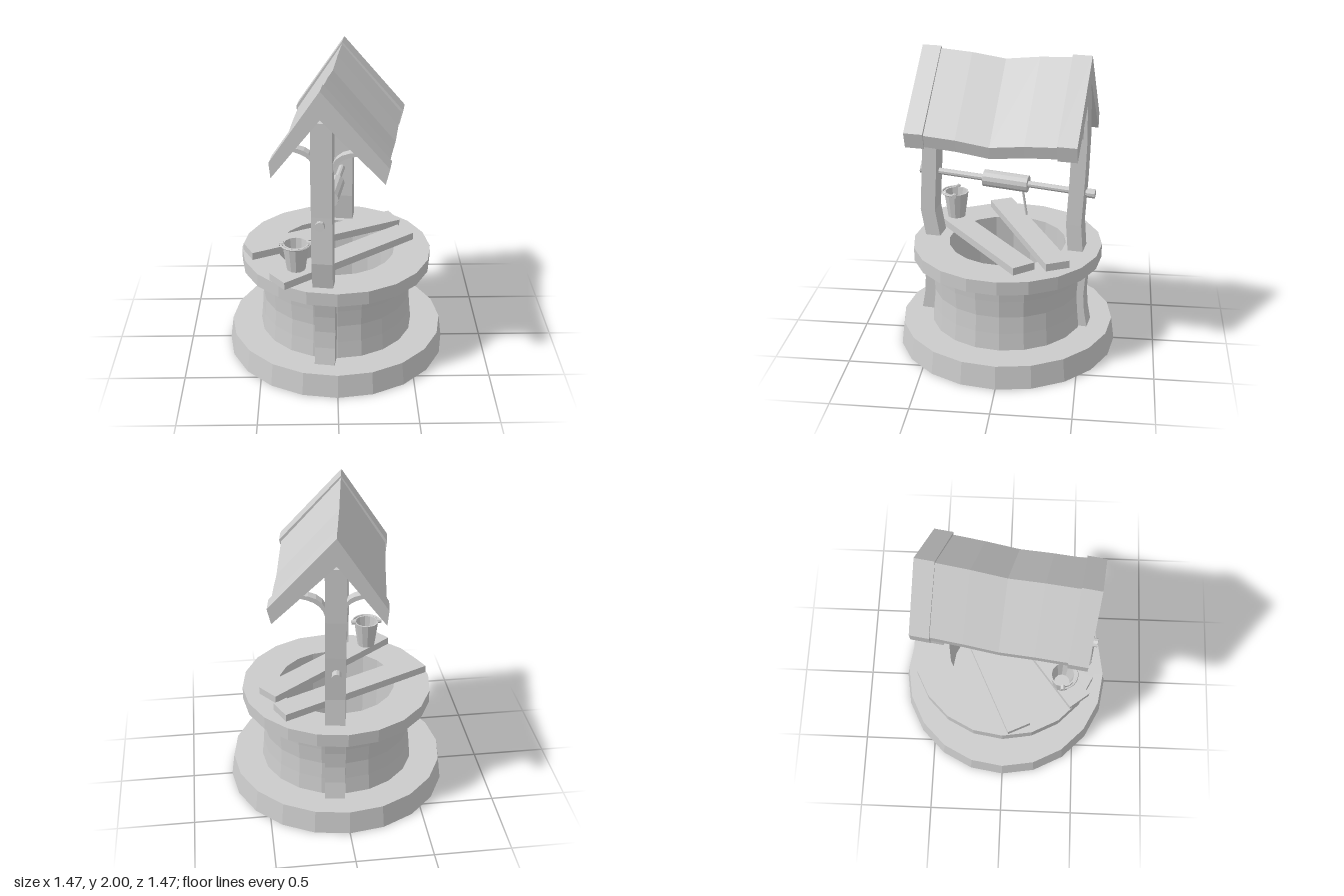
import * as THREE from 'three';

const material = new THREE.MeshStandardMaterial({ color: 0xcccccc, flatShading: true });
const openMaterial = new THREE.MeshStandardMaterial({ color: 0xcccccc, flatShading: true, side: THREE.DoubleSide });

function add(parent, name, geometry, x = 0, y = 0, z = 0, mat = material) {
  const mesh = new THREE.Mesh(geometry, mat);
  mesh.name = name;
  mesh.position.set(x, y, z);
  parent.add(mesh);
  return mesh;
}

const lathe = (points, sides) =>
  new THREE.LatheGeometry(points.map(([r, y]) => new THREE.Vector2(r, y)), sides);

// Square timber passing through the centres [x, y, z]
function bentTimber(levels, width, depth) {
  const n = levels.length - 1;
  const g = new THREE.BoxGeometry(width, n, depth, 1, n, 1);
  const p = g.attributes.position;
  for (let i = 0; i < p.count; i++) {
    const [x, y, z] = levels[Math.round(p.getY(i) + n / 2)];
    p.setXYZ(i, p.getX(i) + x, y, p.getZ(i) + z);
  }
  return g;
}

// Chevron roof section, extruded along z around zero
function chevron(points, length, steps) {
  const shape = new THREE.Shape(points.map(([x, y]) => new THREE.Vector2(x, y)));
  return new THREE.ExtrudeGeometry(shape, { depth: length, steps, bevelEnabled: false })
    .translate(0, 0, -length / 2);
}

// Curved flat bar from a post to the roof underside
function brace(x0, y0, x1, y1) {
  const t = 0.02, s = Math.sign(x1 - x0);
  const shape = new THREE.Shape();
  shape.moveTo(x0, y0);
  shape.quadraticCurveTo(x0 + s * 0.02, y1 - 0.02, x1, y1);
  shape.lineTo(x1, y1 + t);
  shape.quadraticCurveTo(x0, y1 + t, x0 - s * t, y0);
  return new THREE.ExtrudeGeometry(shape, { depth: 0.06, bevelEnabled: false, curveSegments: 5 })
    .translate(0, 0, -0.03);
}

export function createModel() {
  const model = new THREE.Group();
  model.name = 'well';

  // Stonework
  add(model, 'base', new THREE.CylinderGeometry(0.712, 0.733, 0.155, 20), 0, 0.0775, 0);
  add(model, 'wall', lathe([[0.515, 0.15], [0.503, 0.27], [0.495, 0.385], [0.503, 0.5], [0.515, 0.62]], 20));
  add(model, 'rim', lathe([[0.39, 0.615], [0.63, 0.615], [0.63, 0.705], [0.39, 0.705]], 20));
  add(model, 'shaft', lathe([[0.39, 0.705], [0.39, 0.16], [0, 0.16]], 20), 0, 0, 0, openMaterial);

  // Loose planks across the opening
  for (const [x, z, length, degrees] of [[-0.087, -0.126, 1.1, 25.4], [0.047, 0.178, 1.08, 37.8]]) {
    add(model, 'plank', new THREE.BoxGeometry(length, 0.05, 0.16), x, 0.73, z)
      .rotation.y = THREE.MathUtils.degToRad(degrees);
  }

  // Timber frame, turned slightly on the stonework
  const frame = new THREE.Group();
  frame.name = 'frame';
  frame.position.set(-0.02, 0, 0.012);
  frame.rotation.y = THREE.MathUtils.degToRad(-8.7);
  model.add(frame);

  const frontPost = [[0.01, 0.7, 0.492], [0.01, 0.89, 0.525], [0.008, 1.2, 0.508], [0.005, 1.45, 0.5], [0.005, 1.8, 0.49]];
  const backPost = [[0.01, 0.7, -0.487], [0.01, 0.89, -0.472], [0.008, 1.2, -0.488], [0.005, 1.45, -0.495], [0.005, 1.8, -0.49]];
  add(frame, 'frontPost', bentTimber(frontPost, 0.13, 0.1));
  add(frame, 'backPost', bentTimber(backPost, 0.13, 0.1));
  for (const s of [1, -1]) {
    const foot = [[0.53, 0.15], [0.508, 0.27], [0.5, 0.385], [0.508, 0.5], [0.528, 0.62]];
    add(frame, 'postFoot', bentTimber(foot.map(([z, y]) => [s > 0 ? 0.025 : 0.01, y, s * z]), 0.13, 0.1));
    add(frame, 'rightBrace', brace(-0.06, 1.54, -0.19, 1.61), 0, 0, s * 0.49);
    add(frame, 'leftBrace', brace(0.07, 1.48, 0.23, 1.6), 0, 0, s * 0.49);
  }

  // Sagging roof between two gable trims
  const roof = chevron([[-0.297, 1.53], [-0.287, 1.45], [0, 1.83], [0.38, 1.45], [0.4, 1.53], [0, 1.985]], 0.88, 4);
  const p = roof.attributes.position;
  for (let i = 0; i < p.count; i++) {
    const d = Math.abs(p.getZ(i));
    p.setY(i, p.getY(i) - (d < 0.1 ? 0.04 : d < 0.3 ? 0.013 : 0));
  }
  add(frame, 'roof', roof);
  const trim = [[-0.31, 1.54], [-0.3, 1.44], [0, 1.825], [0.39, 1.44], [0.414, 1.54], [0, 2]];
  for (const s of [1, -1]) add(frame, 'gableTrim', chevron(trim, 0.124, 1), 0, 0, s * 0.487);

  // Tilted windlass
  const windlass = new THREE.Group();
  windlass.name = 'windlass';
  windlass.position.set(0, 1.122, 0);
  windlass.rotation.x = -0.052;
  frame.add(windlass);
  const rod = (name, radius, length, z, sides) =>
    add(windlass, name, new THREE.CylinderGeometry(radius, radius, length, sides).rotateX(Math.PI / 2), 0, 0, z);
  rod('axle', 0.022, 1.17, -0.01, 10);
  rod('drum', 0.056, 0.3, 0, 12);
  rod('frontCap', 0.03, 0.05, 0.565, 10);
  rod('backCap', 0.031, 0.05, -0.57, 10);
  const ropePath = new THREE.LineCurve3(new THREE.Vector3(-0.02, 1.08, -0.105), new THREE.Vector3(-0.02, 0.885, -0.135));
  add(frame, 'rope', new THREE.TubeGeometry(ropePath, 1, 0.008, 6), 0, 0, 0, openMaterial);

  // Bucket with its handle folded down
  const bucket = new THREE.Group();
  bucket.name = 'bucket';
  bucket.position.set(-0.26, 0.755, 0.385);
  model.add(bucket);
  add(bucket, 'pail', lathe([[0, 0], [0.06, 0], [0.085, 0.18], [0.074, 0.18], [0.052, 0.015], [0, 0.015]], 12), 0, 0, 0, openMaterial);
  add(bucket, 'handle', new THREE.TorusGeometry(0.095, 0.007, 6, 12, Math.PI).rotateX(Math.PI / 2), 0, 0.178, 0);
  for (const s of [1, -1]) {
    add(bucket, 'handlePivot', new THREE.CylinderGeometry(0.016, 0.016, 0.03, 8).rotateZ(Math.PI / 2), s * 0.09, 0.178, 0);
  }

  return model;
}
